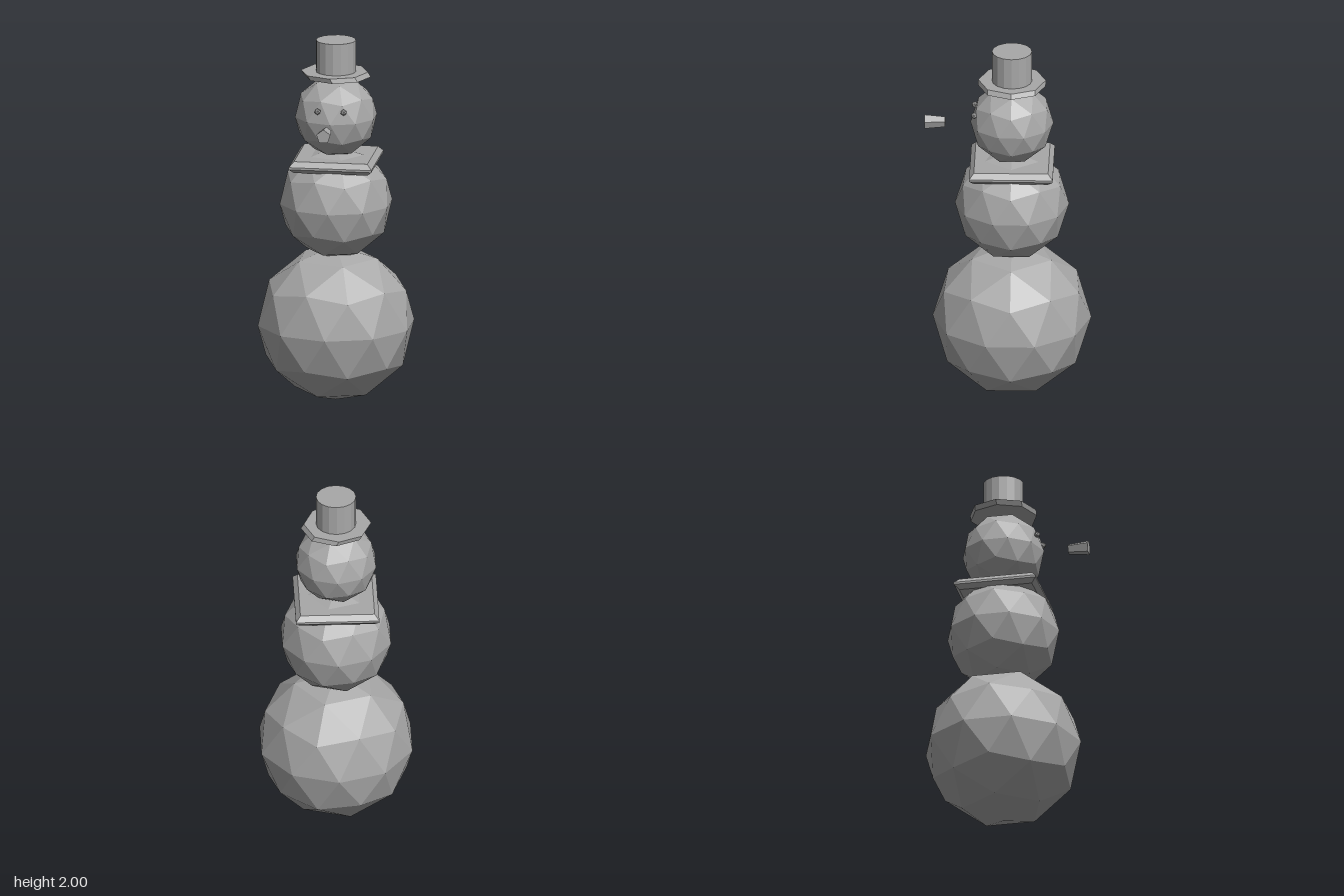
import * as THREE from 'three';

const CZ = -0.022; // z of the body axis

export function createModel() {
  const model = new THREE.Group();
  const grey = new THREE.MeshStandardMaterial({ color: 0xa8a8a8, flatShading: true });
  grey.name = 'plain grey';

  const add = (name, geometry, x, y, z) => {
    const flat = geometry.index ? geometry.toNonIndexed() : geometry;
    flat.computeVertexNormals();
    const mesh = new THREE.Mesh(flat, grey);
    mesh.name = name;
    mesh.position.set(x, y, z);
    model.add(mesh);
    return mesh;
  };

  // Faceted ball with a corner at the top and the upper ring starting at +x
  const ball = (radius, detail) =>
    new THREE.IcosahedronGeometry(radius, detail)
      .rotateZ(-Math.atan(2 / (1 + Math.sqrt(5))));

  // Three stacked snowballs
  add('lowerBody', ball(0.428, 1), 0, 0.428, CZ);
  add('upperBody', ball(0.308, 1), 0, 1.1, CZ);
  add('head', ball(0.224, 1), 0, 1.58, CZ);

  // Square collar with bevelled rim
  const collarProfile = [
    [0, 1.302], [0.2, 1.302], [0.225, 1.325], [0.225, 1.337], [0.2, 1.365], [0, 1.365],
  ].map(([half, y]) => new THREE.Vector2(half * Math.SQRT2, y));
  add('collar', new THREE.LatheGeometry(collarProfile, 4, Math.PI / 4), 0, 0, CZ);

  // Eight-sided brim, its top leaning slightly to -x
  const brim = new THREE.CylinderGeometry(0.182, 0.182, 0.026, 8);
  const p = brim.attributes.position;
  for (let i = 0; i < p.count; i++) p.setX(i, p.getX(i) - Math.sign(p.getY(i)) * 0.008);
  add('hatBrim', brim, 0, 1.813, CZ);

  // Hat crown
  add('hatCrown', new THREE.CylinderGeometry(0.108, 0.108, 0.18, 16), 0, 1.91, CZ);

  // Eyes
  for (const [side, name] of [[1, 'leftEye'], [-1, 'rightEye']]) {
    add(name, ball(0.018, 0), side * 0.071, 1.648, 0.18);
  }

  // Five-sided nose, held in front of the face and wider at its far end
  const nose = new THREE.CylinderGeometry(0.04, 0.029, 0.11, 5)
    .rotateY(Math.PI)
    .rotateX(Math.PI / 2);
  add('nose', nose, 0, 1.577, 0.393);

  return model;
}
